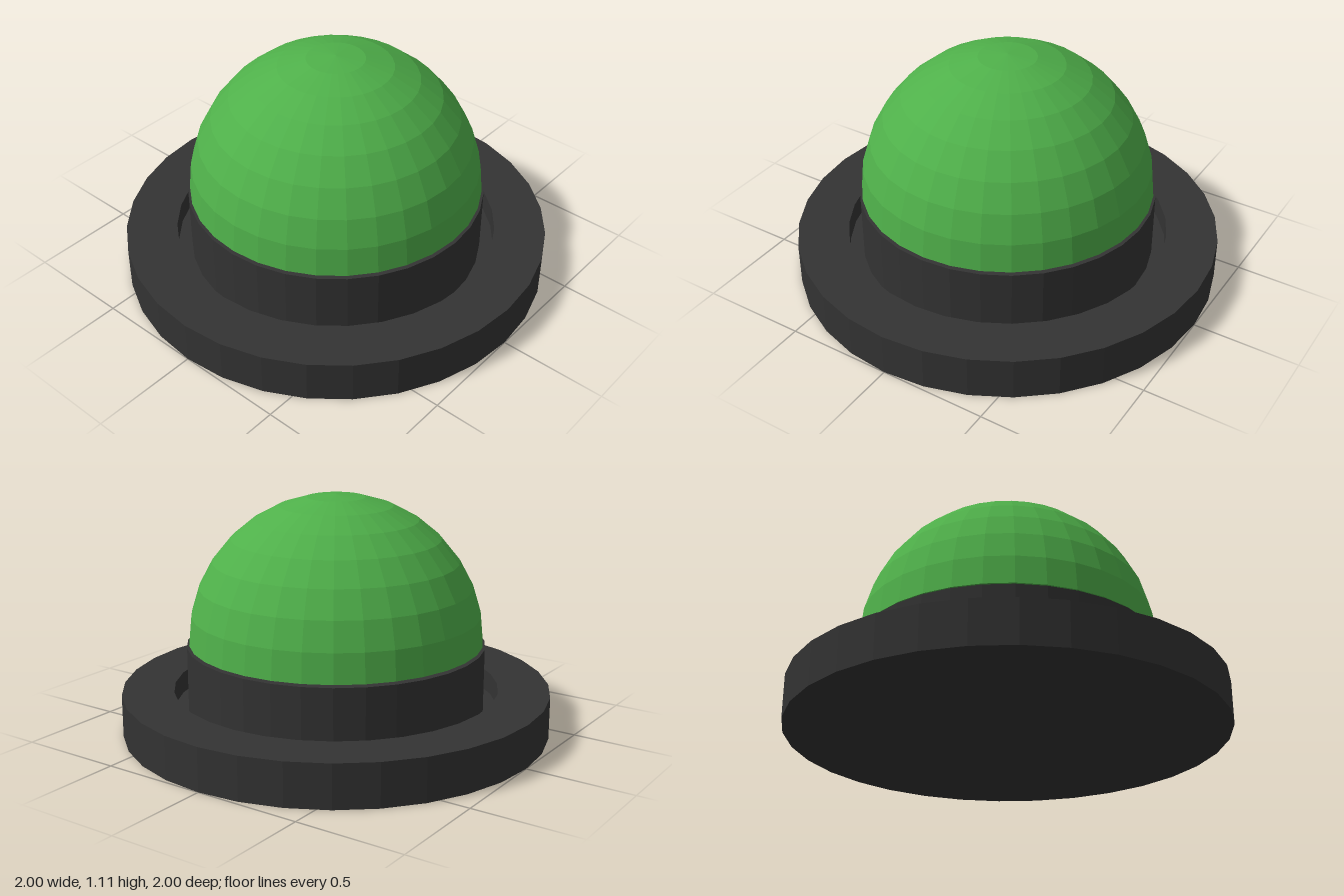
import * as THREE from 'three';

const SEGMENTS = 32;

// Revolve a profile of [radius, height] pairs, listed from bottom axis outward and up
function revolve(name, profile, material) {
  const points = profile.map(([r, y]) => new THREE.Vector2(r, y));
  const mesh = new THREE.Mesh(new THREE.LatheGeometry(points, SEGMENTS), material);
  mesh.name = name;
  return mesh;
}

export function createModel() {
  const group = new THREE.Group();
  group.name = 'domeButton';
  const dark = new THREE.MeshStandardMaterial({ color: 0x333333, flatShading: true });
  const green = new THREE.MeshStandardMaterial({ color: 0x4fb04a, flatShading: true });

  // Flat base disc with a raised rim around a shallow recess
  group.add(revolve('base', [
    [0, 0], [1, 0], [1, 0.2], [0.76, 0.2], [0.76, 0.1], [0, 0.1],
  ], dark));

  // Collar rising out of the recess
  group.add(revolve('collar', [[0.695, 0.1], [0.695, 0.41], [0, 0.41]], dark));

  // Faceted half-sphere cap, floating just above the collar
  const radius = 0.685, bottom = 0.42, rows = 8;
  const profile = [[0, bottom]];
  for (let i = 0; i <= rows; i++) {
    const a = (i / rows) * Math.PI / 2;
    profile.push([i === rows ? 0 : radius * Math.cos(a), bottom + radius * Math.sin(a)]);
  }
  group.add(revolve('dome', profile, green));

  return group;
}
